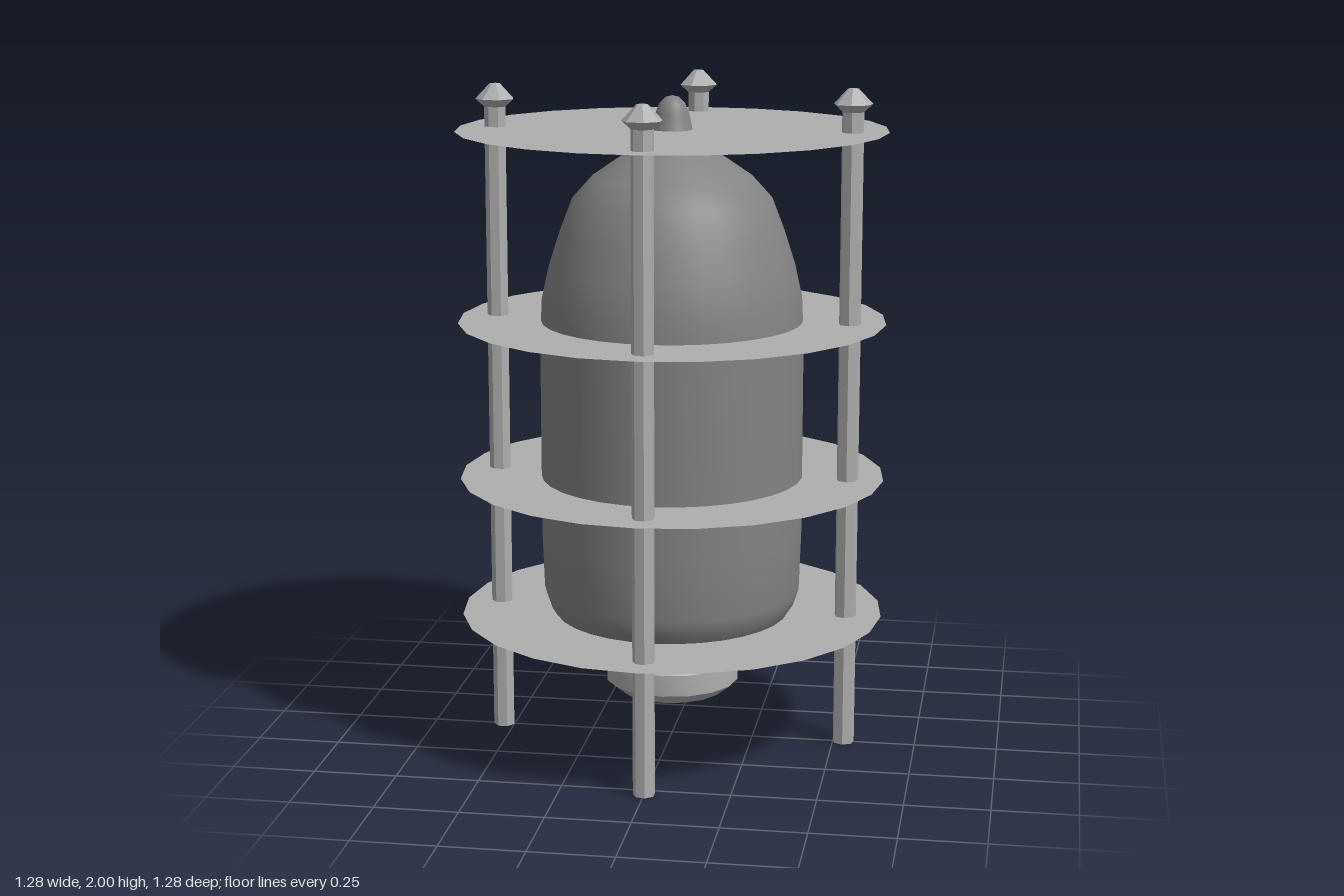
import * as THREE from 'three';
import { toCreasedNormals } from 'three/addons/utils/BufferGeometryUtils.js';

export function createModel() {
  const model = new THREE.Group();
  const bodyGrey = new THREE.MeshStandardMaterial({ color: 0x838383 });
  const smooth = new THREE.MeshStandardMaterial({ color: 0xaeaeae });
  const flat = new THREE.MeshStandardMaterial({ color: 0xaeaeae, flatShading: true });
  const sheet = new THREE.MeshStandardMaterial({ color: 0xaeaeae, side: THREE.DoubleSide });

  function add(parent, name, geometry, material, x = 0, y = 0, z = 0) {
    const mesh = new THREE.Mesh(geometry, material);
    mesh.name = name;
    mesh.position.set(x, y, z);
    parent.add(mesh);
    return mesh;
  }
  const lathe = (points, sides) =>
    new THREE.LatheGeometry(points.map(([r, y]) => new THREE.Vector2(r, y)), sides);

  // Bottle-shaped body with a rounded nub on top, slightly deeper than wide
  const body = add(model, 'body', lathe([
    [0, 0.28], [0.17, 0.285], [0.228, 0.3], [0.286, 0.335], [0.34, 0.38],
    [0.372, 0.43], [0.389, 0.48], [0.395, 0.65], [0.395, 1.24], [0.389, 1.37],
    [0.367, 1.47], [0.335, 1.57], [0.297, 1.67], [0.238, 1.735], [0.15, 1.795],
    [0.075, 1.84], [0.06, 1.87], [0.05, 1.92], [0.038, 1.95], [0.02, 1.968], [0, 1.973],
  ], 32), bodyGrey);
  body.scale.z = 1.03;

  // Chamfered ring under the body, open in the middle
  const ring = lathe([
    [0.16, 0.15], [0.204, 0.185], [0.204, 0.25], [0.17, 0.285],
    [0.125, 0.285], [0.09, 0.25], [0.09, 0.185], [0.135, 0.15], [0.16, 0.15],
  ], 16);
  add(model, 'baseRing', toCreasedNormals(ring, Math.PI / 6), smooth);

  // Thin round plates threaded over the body
  const plate = new THREE.CircleGeometry(0.64, 24).rotateX(-Math.PI / 2);
  [0.405, 0.83, 1.305, 1.873].forEach((y, i) => add(model, 'plate' + (i + 1), plate, sheet, 0, y, 0));

  // Four seven-sided posts with pointed caps
  const shaft = new THREE.CylinderGeometry(0.033, 0.033, 1.94, 7);
  const cap = lathe([[0, 1.932], [0.033, 1.932], [0.059, 1.955], [0.016, 2], [0, 2]], 7);
  for (let i = 0; i < 4; i++) {
    const post = new THREE.Group();
    post.name = 'post' + (i + 1);
    post.rotation.y = (i * Math.PI) / 2;
    add(post, 'shaft', shaft, flat, 0.532, 0.97, 0);
    add(post, 'cap', cap, flat, 0.532, 0, 0);
    model.add(post);
  }

  return model;
}
